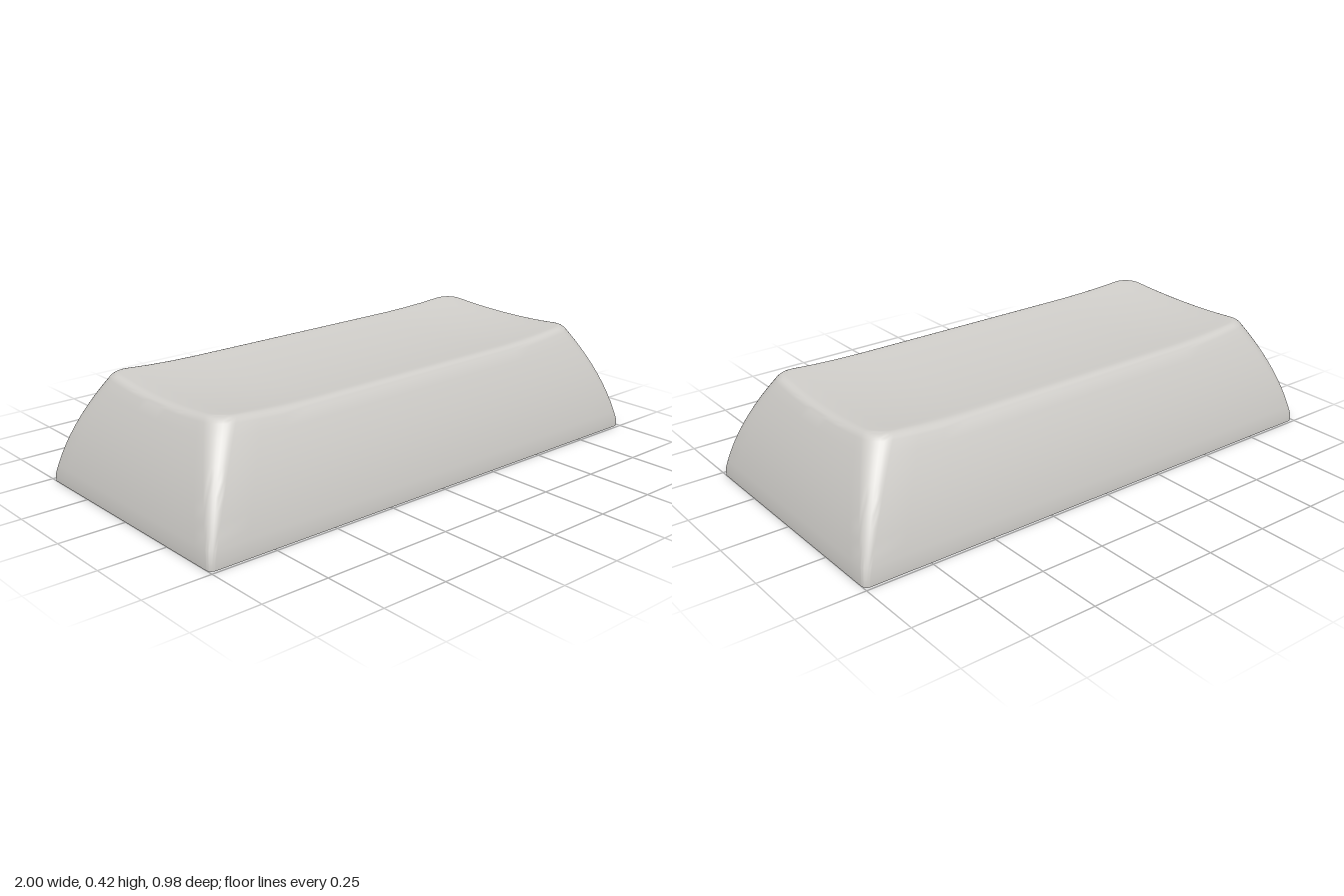
import * as THREE from 'three';
import { toCreasedNormals } from 'three/addons/utils/BufferGeometryUtils.js';

const HALF_X = 1, HALF_Z = 0.49;   // footprint
const LIP = 0.025, TOP = 0.42;     // vertical lip height, rim height
const TAPER = 0.155, FILLET = 0.02;
const ROOF = 0.285;                // underside of the top
const ARC = 8, EDGE = 16, COUNT = 4 * (ARC + EDGE);

// Dished top: hollow along z, rising towards both ends
const dish = (x, z) => {
  const end = Math.max(0, (Math.abs(x) - 0.45) / 0.4);
  return 0.38 + 0.021 * (z / 0.335) ** 2 + 0.023 * end * end;
};

// Point j of a rounded rectangle, inset from the footprint
function outline(j, inset, r) {
  const corner = (c, f) => {
    const a = (c + f) * Math.PI / 2, mid = (c + 0.5) * Math.PI / 2;
    return [
      Math.sign(Math.cos(mid)) * (HALF_X - inset - r) + r * Math.cos(a),
      Math.sign(Math.sin(mid)) * (HALF_Z - inset - r) + r * Math.sin(a),
    ];
  };
  const c = Math.floor(j / (ARC + EDGE)), m = j % (ARC + EDGE);
  if (m <= ARC) return corner(c, m / ARC);
  const p = corner(c, 1), q = corner(c + 1, 0), f = (m - ARC) / EDGE;
  return [p[0] + (q[0] - p[0]) * f, p[1] + (q[1] - p[1]) * f];
}

// Bulging side wall: inset and corner radius grow with height
const rise = y => Math.max(0, (y - LIP) / (TOP - LIP));
const wallInset = y => TAPER * (0.45 * rise(y) + 0.55 * rise(y) ** 2);
const wallRadius = y => 0.022 + 0.053 * rise(y);
const rimHeight = j => dish(...outline(j, TAPER, 0.075));

function shellGeometry() {
  const rings = [];
  const addRing = fn => rings.push(Array.from({ length: COUNT }, (_, j) => fn(j)));
  const flatRing = (y, inset, r, s = 1) => addRing(j => {
    const [x, z] = outline(j, inset, r);
    return [x * s, y, z * s];
  });

  // Cavity: roof, inner walls, bottom rim, lip
  flatRing(ROOF, 0.12, 0.003, 0);
  flatRing(ROOF, 0.12, 0.003);
  flatRing(0, 0.058, 0.003);
  flatRing(0, 0, 0.022);
  flatRing(LIP, 0, 0.022);

  // Outer walls
  for (let i = 1; i <= 10; i++) addRing(j => {
    const y = LIP + (rimHeight(j) - FILLET - LIP) * i / 10;
    const [x, z] = outline(j, wallInset(y), wallRadius(y));
    return [x, y, z];
  });

  // Rounded rim
  const last = j => outline(j, TAPER + FILLET, 0.065);
  for (let i = 1; i <= 5; i++) addRing(j => {
    const t = i / 5, h = rimHeight(j), y0 = h - FILLET, end = last(j);
    const a = outline(j, wallInset(y0), wallRadius(y0));
    const b = outline(j, wallInset(h), wallRadius(h));
    const mix = (p, q, r) => (1 - t) ** 2 * p + 2 * t * (1 - t) * q + t * t * r;
    return [mix(a[0], b[0], end[0]), mix(y0, h, dish(...end)), mix(a[1], b[1], end[1])];
  });

  // Dished top surface
  for (let i = 1; i <= 14; i++) addRing(j => {
    const [x, z] = last(j).map(v => v * (1 - i / 14));
    return [x, dish(x, z), z];
  });

  const index = [];
  for (let i = 0; i < rings.length - 1; i++) {
    for (let j = 0; j < COUNT; j++) {
      const a = i * COUNT + j, b = i * COUNT + (j + 1) % COUNT;
      const c = a + COUNT, d = b + COUNT;
      if (i < rings.length - 2) index.push(a, c, b);
      else { index.push(a, c, b); continue; }
      if (i > 0) index.push(b, c, d);
      else { index.length -= 3; index.push(b, c, d); }
    }
  }
  const geo = new THREE.BufferGeometry();
  geo.setAttribute('position', new THREE.Float32BufferAttribute(rings.flat(2), 3));
  geo.setIndex(index);
  return toCreasedNormals(geo, 0.5);
}

// Round post with a cross-shaped socket
function stemGeometry() {
  const shape = new THREE.Shape().absarc(0, 0, 0.148, 0, Math.PI * 2, false);
  const L = 0.105, W = 0.034;
  const cross = [[L, -W], [L, W], [W, W], [W, L], [-W, L], [-W, W],
    [-L, W], [-L, -W], [-W, -W], [-W, -L], [W, -L], [W, -W]];
  shape.holes.push(new THREE.Path(cross.map(p => new THREE.Vector2(...p)).reverse()));
  const geo = new THREE.ExtrudeGeometry(shape, {
    depth: ROOF + 0.005, bevelEnabled: false, curveSegments: 24,
  });
  geo.rotateX(-Math.PI / 2);
  return toCreasedNormals(geo, 0.5);
}

export function createModel() {
  const group = new THREE.Group();
  group.name = 'keycap';
  const plastic = new THREE.MeshStandardMaterial({ color: 0xcfcdc9 });
  plastic.name = 'light grey plastic';

  const shell = new THREE.Mesh(shellGeometry(), plastic);
  shell.name = 'shell';
  group.add(shell);

  const stemGeo = stemGeometry();
  [['rightStem', -0.64], ['centreStem', 0], ['leftStem', 0.64]].forEach(([name, x]) => {
    const stem = new THREE.Mesh(stemGeo, plastic);
    stem.name = name;
    stem.position.x = x;
    group.add(stem);
  });
  return group;
}
